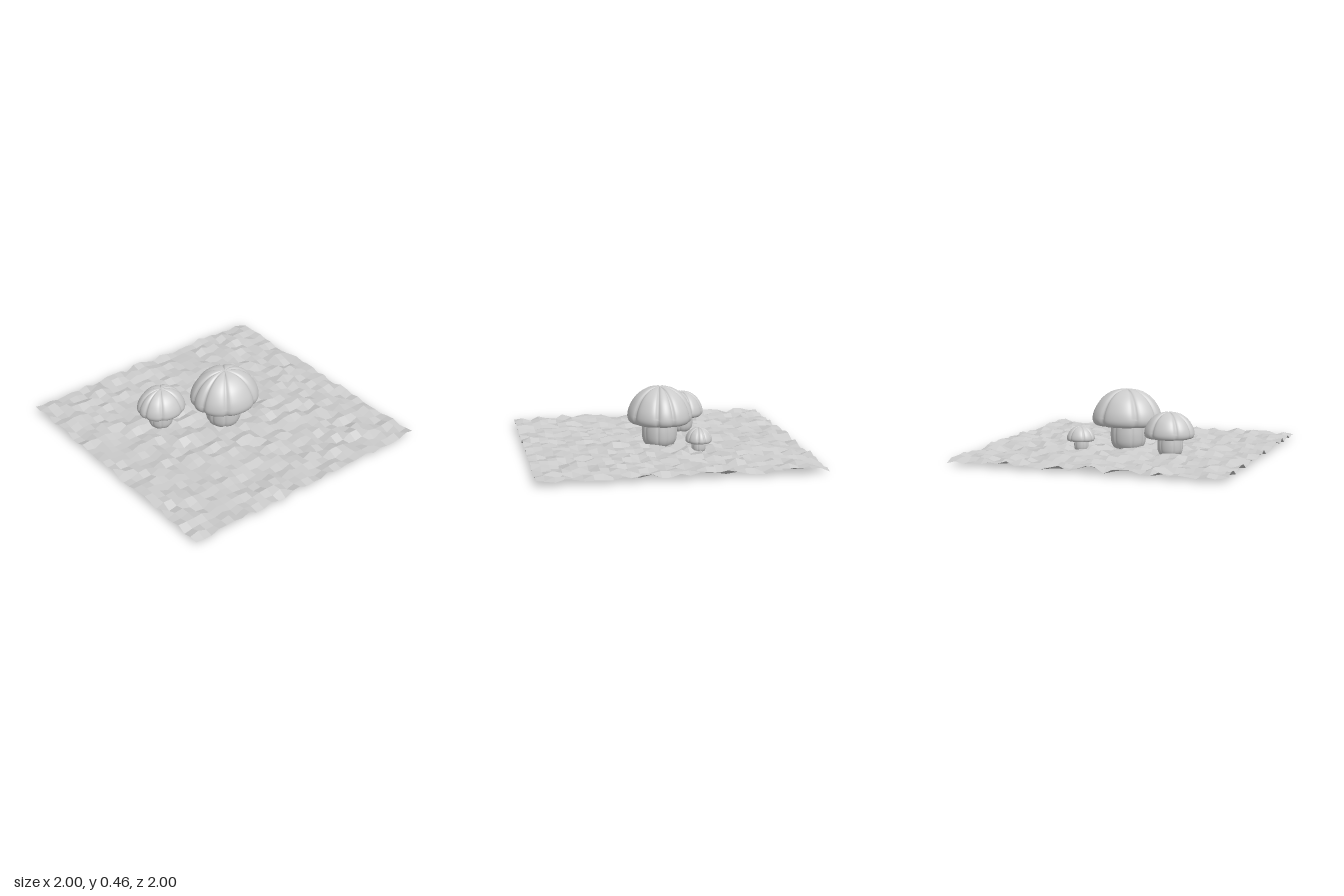
import * as THREE from 'three';
import { mergeVertices } from 'three/addons/utils/BufferGeometryUtils.js';

const grey = new THREE.MeshStandardMaterial({ color: 0xcccccc });
const groundGrey = new THREE.MeshStandardMaterial({ color: 0xcccccc, side: THREE.DoubleSide });

// Crease directions in degrees, mirrored about the front
const creases = [14, 58, 118, 165].flatMap(a => [a, -a]).map(a => THREE.MathUtils.degToRad(a));

function seeded(seed) {
  return () => {
    seed = (seed * 16807) % 2147483647;
    return seed / 2147483647;
  };
}

// Smooth lathe, pressed in along the creases and stretched front to back
function lobed(profile, steps, depth, width, stretch) {
  const curve = new THREE.SplineCurve(profile.map(([r, y]) => new THREE.Vector2(r, y)));
  const points = curve.getPoints(steps).map(p => new THREE.Vector2(Math.max(p.x, 0), p.y));
  const lathe = new THREE.LatheGeometry(points, 120);
  lathe.deleteAttribute('uv');
  lathe.deleteAttribute('normal');
  const pos = lathe.attributes.position;
  for (let i = 0; i < pos.count; i++) {
    const x = pos.getX(i), y = pos.getY(i), z = pos.getZ(i);
    const r = Math.hypot(x, z), angle = Math.atan2(x, z);
    let groove = 0;
    for (const c of creases) {
      const d = Math.atan2(Math.sin(angle - c), Math.cos(angle - c));
      groove = Math.max(groove, Math.exp(-Math.abs(d) / width));
    }
    const k = 1 - depth * groove;
    const drop = 0.012 * groove * Math.min(1, r / 0.06) * (y > 0.26 ? 1 : 0);
    pos.setXYZ(i, x * k, y - drop, z * k * stretch);
  }
  const geometry = mergeVertices(lathe, 1e-5);
  geometry.computeVertexNormals();
  return geometry;
}

// Uneven ground: a grid of tilted facets, each shaded as one face
function makeGround() {
  const n = 31, random = seeded(4711), cell = 2 / n;
  const heights = Array.from({ length: (n + 1) * (n + 1) }, () => 0.01 + 0.045 * random());
  const corner = (i, j) =>
    new THREE.Vector3(-1 + i * cell, heights[j * (n + 1) + i], -1 + j * cell);
  const positions = [], normals = [];
  for (let j = 0; j < n; j++) {
    for (let i = 0; i < n; i++) {
      const a = corner(i, j), b = corner(i, j + 1), c = corner(i + 1, j + 1), d = corner(i + 1, j);
      const normal = c.clone().sub(a).cross(d.clone().sub(b)).normalize();
      for (const v of [a, b, c, a, c, d]) {
        positions.push(v.x, v.y, v.z);
        normals.push(normal.x, normal.y, normal.z);
      }
    }
  }
  const geometry = new THREE.BufferGeometry();
  geometry.setAttribute('position', new THREE.Float32BufferAttribute(positions, 3));
  geometry.setAttribute('normal', new THREE.Float32BufferAttribute(normals, 3));
  return new THREE.Mesh(geometry, groundGrey);
}

export function createModel() {
  const model = new THREE.Group();

  const ground = makeGround();
  ground.name = 'ground';
  model.add(ground);

  // Domed cap with a rolled rim and closed underside
  const capGeometry = lobed([
    [0, 0.215], [0.1, 0.21], [0.175, 0.2], [0.21, 0.194], [0.232, 0.212], [0.238, 0.25],
    [0.222, 0.31], [0.18, 0.38], [0.12, 0.43], [0.06, 0.452], [0, 0.455],
  ], 50, 0.09, 0.07, 1.1);

  // Barrel-shaped stem with a rounded foot
  const stemGeometry = lobed([
    [0, 0], [0.06, 0.003], [0.1, 0.02], [0.124, 0.06], [0.13, 0.12], [0.126, 0.18], [0.12, 0.23],
  ], 24, 0.06, 0.07, 1.02);

  const mushrooms = [
    ['largeMushroom', 0, 0, -0.03, 1],
    ['mediumMushroom', -0.24, 0.015, 0.375, 0.7],
    ['smallMushroom', -0.235, 0.015, -0.305, 0.4],
  ];
  for (const [name, x, y, z, size] of mushrooms) {
    const mushroom = new THREE.Group();
    mushroom.name = name;
    const cap = new THREE.Mesh(capGeometry, grey);
    cap.name = 'cap';
    const stem = new THREE.Mesh(stemGeometry, grey);
    stem.name = 'stem';
    stem.position.z = 0.01;
    mushroom.add(cap, stem);
    mushroom.position.set(x, y, z);
    mushroom.scale.setScalar(size);
    model.add(mushroom);
  }
  return model;
}
